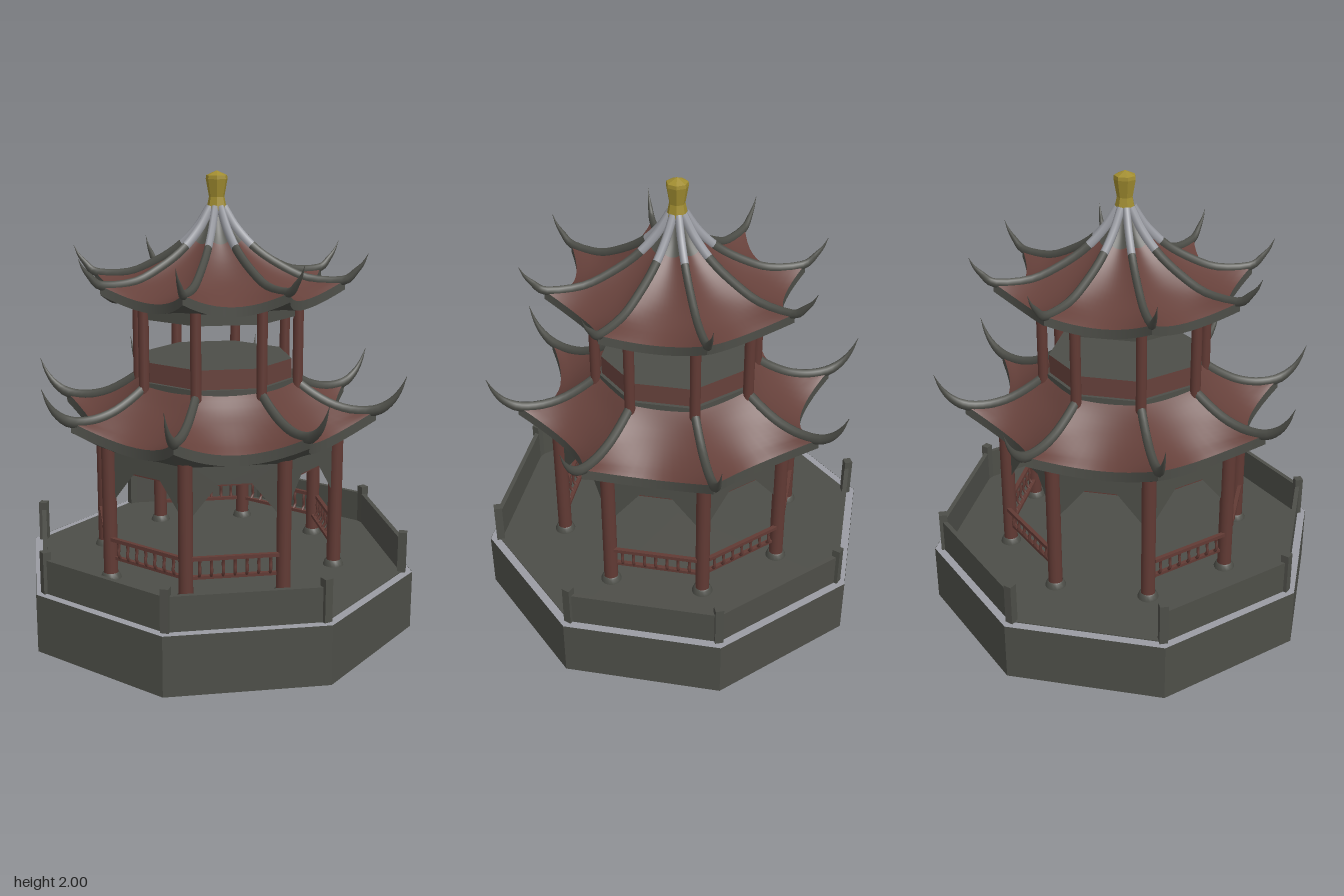
import * as THREE from 'three';
import { ParametricGeometry } from 'three/addons/geometries/ParametricGeometry.js';

const STEP = Math.PI / 4;
const COS = Math.cos(STEP / 2), SIN = Math.sin(STEP / 2), TAN = SIN / COS;

export function createModel() {
  const mat = (name, color, side = THREE.FrontSide) => {
    const m = new THREE.MeshStandardMaterial({ color, side });
    m.name = name;
    return m;
  };
  const stone = mat('dark stone grey', 0x4d4e48, THREE.DoubleSide);
  const red = mat('roof red', 0x66413b, THREE.DoubleSide);
  const wood = mat('column red', 0x613a34);
  const pale = mat('pale grey', 0x9a9ca3);
  const gold = mat('gold', 0xa08c30);

  const model = new THREE.Group();
  model.name = 'pavilion';

  const add = (parent, name, geo, material, x = 0, y = 0, z = 0) => {
    const m = new THREE.Mesh(geo, material);
    m.name = name;
    m.position.set(x, y, z);
    parent.add(m);
    return m;
  };
  // Group turned by a number of eighths; local +z points outward
  const turned = (name, k) => {
    const g = new THREE.Group();
    g.name = name;
    g.rotation.y = k * STEP;
    model.add(g);
    return g;
  };
  const flat = (geo) => {
    const g = geo.toNonIndexed();
    g.computeVertexNormals();
    return g;
  };
  // Octagonal prism with flat sides facing the eight directions
  const octagon = (apothem, y0, y1, open = false) => flat(
    new THREE.CylinderGeometry(apothem / COS, apothem / COS, y1 - y0, 8, 1, open, STEP / 2)
      .translate(0, (y0 + y1) / 2, 0));
  const curve = (pts) => new THREE.CatmullRomCurve3(pts.map(([r, y]) => new THREE.Vector3(0, y, r)));

  // Hollow base with a pale rim around the floor
  add(model, 'baseWall', octagon(0.825, 0, 0.26, true), stone);
  add(model, 'rim', octagon(0.824, 0.25, 0.26), [stone, pale, stone]);
  add(model, 'floor', octagon(0.788, 0.255, 0.264), stone);

  // Parapet walls and corner posts, open at front and back
  for (let k = 0; k < 8; k++) {
    if (k % 4) {
      add(turned('parapet', k), 'parapetWall',
        new THREE.BoxGeometry(2 * 0.78 * TAN, 0.15, 0.02), stone, 0, 0.335, 0.78);
    }
    const corner = turned('parapetCorner', k + 0.5);
    add(corner, 'post', new THREE.BoxGeometry(0.036, 0.185, 0.036), stone, 0, 0.353, 0.845);
  }

  // Lower and upper columns; the feet reach just through the floor
  const footProfile = [[0.046, 0], [0.046, 0.02], [0.038, 0.04], [0.033, 0.045]]
    .map(([r, y]) => new THREE.Vector2(r, y));
  for (let k = 0; k < 8; k++) {
    const c = turned('columns', k + 0.5);
    add(c, 'lowerColumn', new THREE.CylinderGeometry(0.031, 0.031, 0.66, 16), wood, 0, 0.59, 0.54);
    add(c, 'columnFoot', new THREE.LatheGeometry(footProfile, 16), stone, 0, 0.246, 0.54);
    add(c, 'upperColumn', new THREE.CylinderGeometry(0.023, 0.023, 0.42, 16), wood, 0, 1.25, 0.363);
  }

  // Curved-back railings, open at front and back
  const balusterPath = new THREE.CatmullRomCurve3([[0.36, 0], [0.385, 0.017], [0.42, 0.012], [0.452, 0.02]]
    .map(([y, z]) => new THREE.Vector3(0, y, z)));
  const baluster = new THREE.TubeGeometry(balusterPath, 6, 0.007, 6);
  for (let k = 0; k < 8; k++) {
    if (k % 4 === 0) continue;
    const g = turned('railing', k);
    add(g, 'topRail', new THREE.BoxGeometry(0.37, 0.016, 0.018), wood, 0, 0.45, 0.515);
    add(g, 'bottomRail', new THREE.BoxGeometry(0.36, 0.014, 0.018), wood, 0, 0.36, 0.495);
    for (let i = 0; i < 7; i++) add(g, 'baluster', baluster, wood, -0.15 + i * 0.05, 0, 0.495);
  }

  // Bracket panels between the lower columns
  const panel = new THREE.Shape([[-0.2, 0.86], [-0.2, 0.6], [-0.07, 0.76], [0.07, 0.76], [0.2, 0.6], [0.2, 0.86]]
    .map(([x, y]) => new THREE.Vector2(x, y)));
  for (let k = 0; k < 8; k++) {
    const g = turned('bracket', k);
    add(g, 'bracketPanel', new THREE.ShapeGeometry(panel), stone, 0, 0, 0.495);
    add(g, 'beam', new THREE.BoxGeometry(0.38, 0.03, 0.016), wood, 0, 0.768, 0.483);
  }

  // Swept roof: ridge and mid-face profiles as [radius, height]; horn continues the ridge
  function roof(name, { ridge, horn, mid, drop, soffitIn, soffitY, crown, paleEnd, width }) {
    const rc = curve(ridge), mc = curve(mid), full = curve([...ridge, ...horn]);
    const a = new THREE.Vector3(), b = new THREE.Vector3();
    const surface = (t, v, out) => {
      rc.getPoint(v, a);
      mc.getPoint(v, b);
      const w = t * t;
      return out.set(t * a.z * SIN, b.y + (a.y - b.y) * w, b.z + (a.z * COS - b.z) * w);
    };
    const tiles = (v0, v1) => new ParametricGeometry(
      (u, v, o) => surface(1 - 2 * u, v0 + (v1 - v0) * v, o), 12, 12);
    const band = new ParametricGeometry((u, v, o) => {
      surface(2 * u - 1, 1, o);
      o.y -= drop * (1 - v);
    }, 12, 1);
    const edge = new THREE.Vector3();
    const soffit = new ParametricGeometry((u, v, o) => {
      surface(2 * u - 1, 1, edge);
      edge.y -= drop;
      o.set((2 * u - 1) * soffitIn * TAN, soffitY, soffitIn).lerp(edge, v);
    }, 12, 4);
    // Tapering ridge beam between two fractions of its path
    const beam = (v0, v1) => new ParametricGeometry((u, v, o) => {
      const s = v0 + (v1 - v0) * v;
      const p = full.getPoint(s), d = full.getTangent(s);
      const r = width * Math.min(1, Math.max(0.04, (1 - s) / 0.42));
      const n = Math.sin(u * Math.PI * 2) * r * 1.3;
      o.set(Math.cos(u * Math.PI * 2) * r, p.y + d.z * n, p.z - d.y * n);
    }, 8, 20);
    const parts = [
      ['roofTiles', tiles(crown, 1), red], ['eaveBand', band, stone], ['soffit', soffit, stone],
      ['ridge', beam(paleEnd, 1), stone],
    ];
    if (crown) parts.push(['crownTiles', tiles(0, crown), stone], ['crownRidge', beam(0, paleEnd), pale]);
    for (let k = 0; k < 8; k++) {
      const side = turned(name, k), corner = turned(name + 'Corner', k + 0.5);
      for (const [n, geo, m] of parts) add(/idge/.test(n) ? corner : side, n, geo, m);
    }
  }

  roof('lowerRoof', {
    ridge: [[0.35, 1.1], [0.43, 1.045], [0.52, 1.0], [0.62, 0.98], [0.71, 0.99]],
    horn: [[0.77, 1.03], [0.81, 1.085], [0.835, 1.145]],
    mid: [[0.32, 1.095], [0.38, 1.03], [0.44, 0.98], [0.5, 0.935], [0.555, 0.9]],
    drop: 0.045, soffitIn: 0.5, soffitY: 0.84, crown: 0, paleEnd: 0, width: 0.019,
  });
  roof('upperRoof', {
    ridge: [[0.028, 1.845], [0.085, 1.757], [0.17, 1.67], [0.28, 1.6], [0.4, 1.55], [0.56, 1.55]],
    horn: [[0.605, 1.59], [0.635, 1.625], [0.655, 1.665]],
    mid: [[0.028, 1.835], [0.08, 1.735], [0.16, 1.645], [0.26, 1.57], [0.36, 1.52], [0.45, 1.485]],
    drop: 0.04, soffitIn: 0.335, soffitY: 1.44, crown: 0.28, paleEnd: 0.225, width: 0.017,
  });

  // Ceilings, upper fascia and the upper storey floor
  add(model, 'lowerCeiling', octagon(0.495, 0.845, 0.855), stone);
  add(model, 'upperCeiling', octagon(0.335, 1.445, 1.455), stone);
  add(model, 'upperFascia', octagon(0.332, 1.39, 1.46, true), stone);
  add(model, 'upperFloor', octagon(0.31, 1.0, 1.2), [red, stone, stone]);
  add(model, 'roofCollar', octagon(0.325, 1.06, 1.115), stone);

  // Finial
  const finial = [[0.001, 1.83], [0.045, 1.835], [0.034, 1.89], [0.048, 1.965], [0.046, 1.98], [0.001, 2]]
    .map(([r, y]) => new THREE.Vector2(r, y));
  add(model, 'finial', flat(new THREE.LatheGeometry(finial, 7)), gold);

  return model;
}
